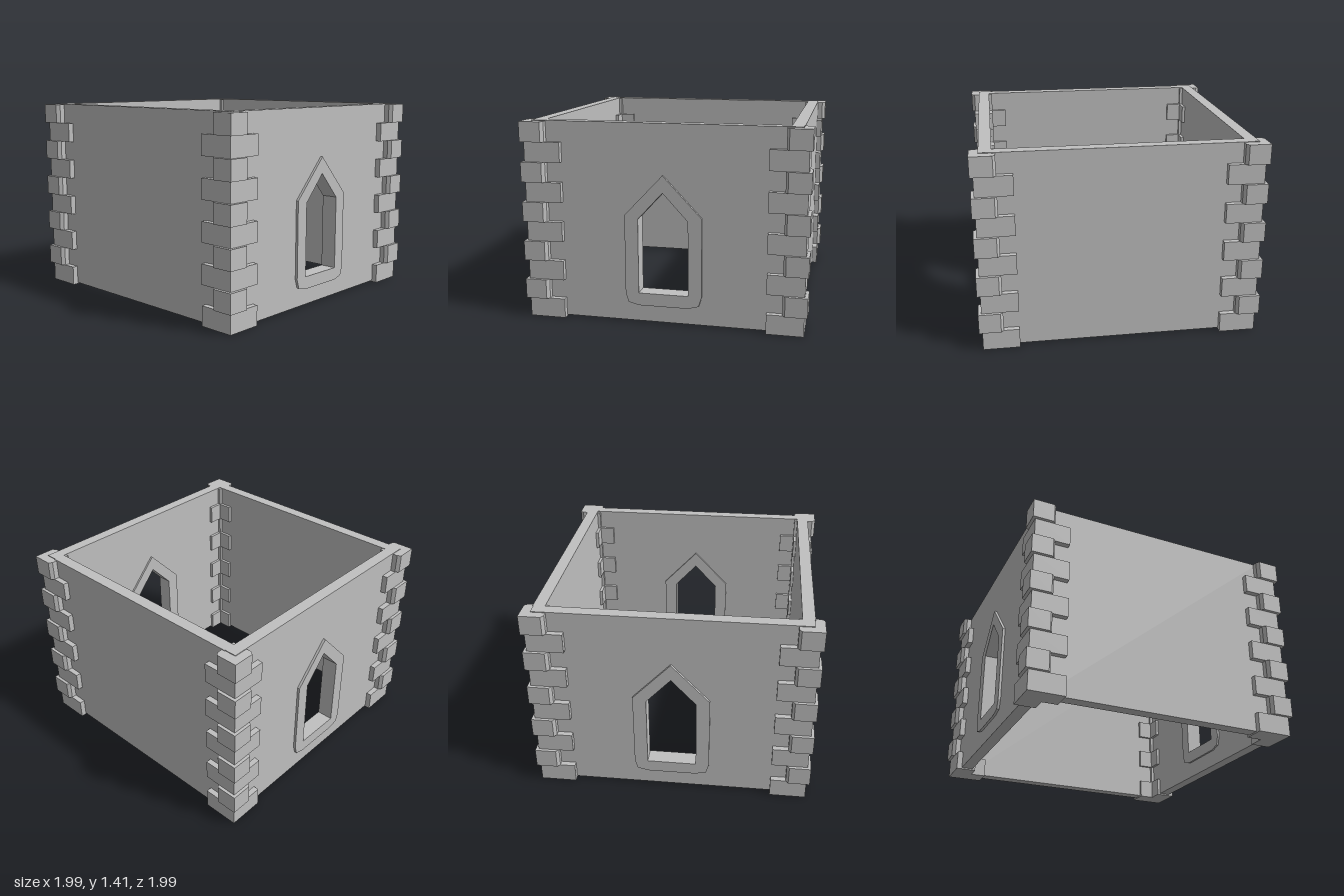
import * as THREE from 'three';

const stone = new THREE.MeshStandardMaterial({ color: 0xc0c0c0 });
stone.name = 'grey stone';

const COURSES = 10;
const COURSE_H = 0.1405;

// Closed polygon from [x, y] pairs
const polygon = (Type, pts) => new Type(pts.map(([x, y]) => new THREE.Vector2(x, y)));

function mesh(name, geometry) {
  const m = new THREE.Mesh(geometry, stone);
  m.name = name;
  return m;
}

// Upright slab of a 2D outline between two z planes
function slab(shape, z0, z1) {
  return new THREE.ExtrudeGeometry(shape, { depth: z1 - z0, bevelEnabled: false }).translate(0, 0, z0);
}

// Horizontal stone from a plan outline given as [x, z]
function course(plan, y0) {
  const shape = polygon(THREE.Shape, plan.map(([x, z]) => [x, -z]));
  return new THREE.ExtrudeGeometry(shape, { depth: COURSE_H, bevelEnabled: false })
    .rotateX(-Math.PI / 2).translate(0, y0, 0);
}

// Pointed window opening
const opening = (w, bottom, spring, apex) =>
  polygon(THREE.Path, [[-w, bottom], [w, bottom], [w, spring], [0, apex], [-w, spring]]);

function windowWall() {
  const group = new THREE.Group();
  group.name = 'windowWall';

  const wall = polygon(THREE.Shape, [[-0.93, 0.01], [0.93, 0.01], [0.93, 1.41], [-0.93, 1.41]]);
  wall.holes.push(opening(0.2, 0.19, 0.76, 0.98));
  group.add(mesh('wall', slab(wall, 0.85, 0.935)));

  // Raised stone surround, standing out on both sides of the wall
  const right = [[0.175, 0.13], [0.25, 0.15], [0.27, 0.215], [0.27, 0.775]];
  const left = right.map(([x, y]) => [-x, y]).reverse();
  const frame = polygon(THREE.Shape, [...right, [0, 1.06], ...left]);
  frame.holes.push(opening(0.175, 0.22, 0.75, 0.94));
  group.add(mesh('windowFrame', slab(frame, 0.835, 0.953)));
  return group;
}

// Alternating long L-shaped and short chamfered corner stones
function corner() {
  const group = new THREE.Group();
  group.name = 'cornerStones';
  const longStone = [
    [0.718, 0.975], [0.718, 0.827], [0.827, 0.827],
    [0.827, 0.718], [0.975, 0.718], [0.975, 0.975],
  ];
  const shortStone = [
    [0.827, 0.827], [0.972, 0.827], [0.997, 0.845],
    [0.997, 0.997], [0.845, 0.997], [0.827, 0.972],
  ];
  for (let i = 0; i < COURSES; i++) {
    const long = i % 2 === 0;
    group.add(mesh(long ? 'longStone' : 'shortStone', course(long ? longStone : shortStone, i * COURSE_H)));
  }
  return group;
}

export function createModel() {
  const model = new THREE.Group();
  model.name = 'stoneTowerStorey';

  // Front and back walls with windows
  for (const turn of [0, Math.PI]) {
    const wall = windowWall();
    wall.rotation.y = turn;
    model.add(wall);
  }

  // Plain side walls
  for (const side of [-1, 1]) {
    const wall = mesh('sideWall', new THREE.BoxGeometry(0.085, 1.4, 1.7));
    wall.position.set(side * 0.8925, 0.71, 0);
    model.add(wall);
  }

  // Four corners
  for (let i = 0; i < 4; i++) {
    const c = corner();
    c.rotation.y = (i * Math.PI) / 2;
    model.add(c);
  }
  return model;
}
